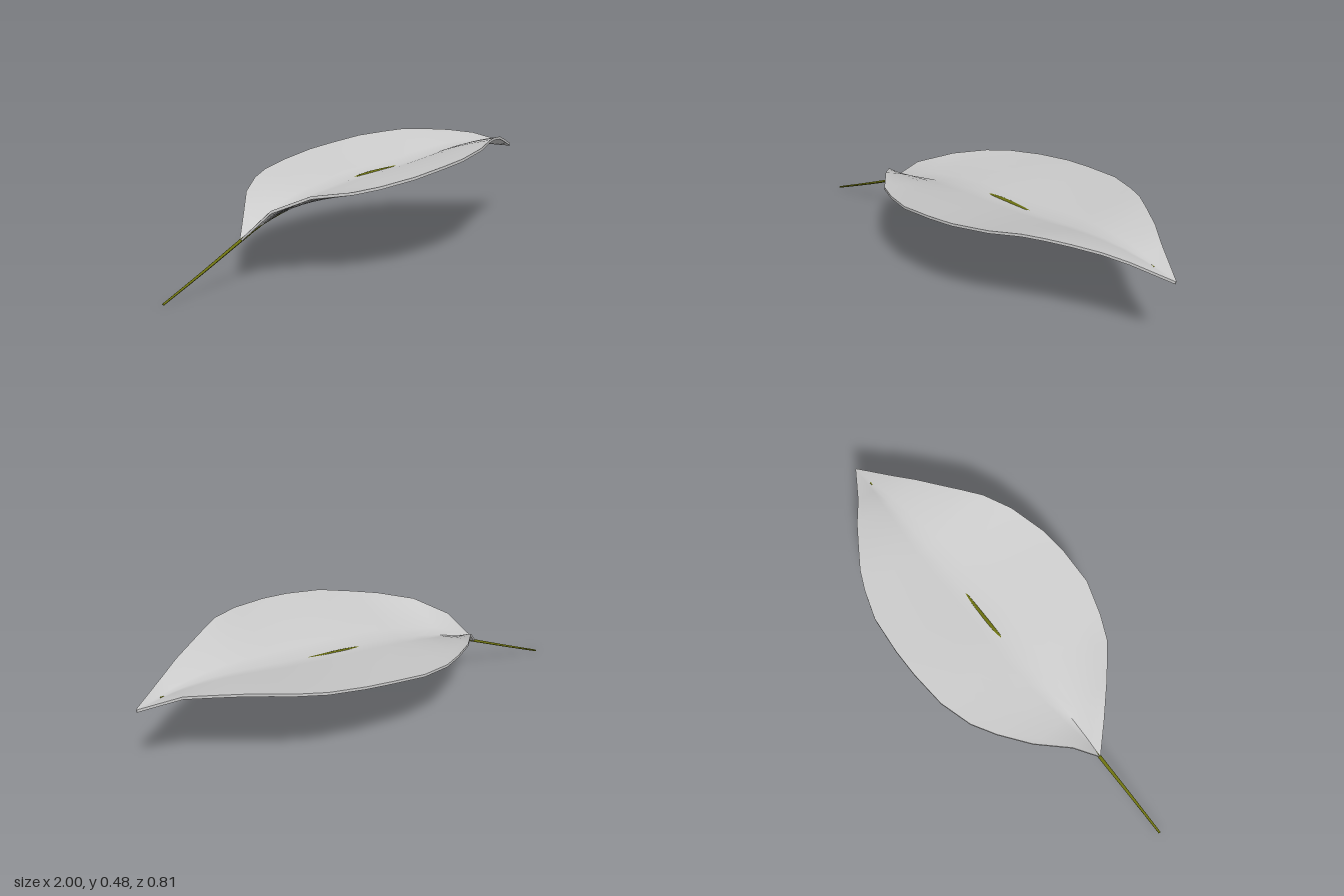
import * as THREE from 'three';
import { toCreasedNormals } from 'three/addons/utils/BufferGeometryUtils.js';

// Blade stations: x, back edge z, back edge y, front edge z, front edge y, midline y
const STATIONS = [
  [-0.615, -0.022, 0.187, -0.016, 0.187, 0.184],
  [-0.53, -0.10, 0.275, 0.07, 0.302, 0.228],
  [-0.42, -0.22, 0.315, 0.18, 0.36, 0.265],
  [-0.30, -0.31, 0.342, 0.29, 0.375, 0.295],
  [-0.20, -0.365, 0.355, 0.34, 0.39, 0.315],
  [-0.06, -0.402, 0.373, 0.39, 0.415, 0.336],
  [0.10, -0.41, 0.397, 0.40, 0.437, 0.348],
  [0.22, -0.405, 0.41, 0.393, 0.45, 0.357],
  [0.38, -0.385, 0.428, 0.355, 0.468, 0.373],
  [0.50, -0.34, 0.438, 0.30, 0.48, 0.387],
  [0.58, -0.30, 0.445, 0.25, 0.472, 0.395],
  [0.66, -0.245, 0.443, 0.20, 0.46, 0.40],
  [0.76, -0.175, 0.435, 0.14, 0.442, 0.399],
  [0.85, -0.10, 0.42, 0.085, 0.415, 0.39],
  [1.0, -0.003, 0.363, 0.003, 0.363, 0.362],
];
const THICKNESS = 0.012;
const HALF = 6; // strips on each side of the midline

// Closed V-shaped section: top from back to front, then underside front to back
function section([x, zBack, yBack, zFront, yFront, yMid]) {
  const zMid = -0.012 + 0.012 * x;
  const top = [];
  for (let i = -HALF; i <= HALF; i++) {
    const t = Math.abs(i) / HALF;
    const [ze, ye] = i < 0 ? [zBack, yBack] : [zFront, yFront];
    const rise = t + 0.2 * t * (1 - t);
    top.push([x, yMid + (ye - yMid) * rise, zMid + (ze - zMid) * t]);
  }
  const under = top.map(([px, py, pz]) => [px, py - THICKNESS, pz]).reverse();
  return [...top, ...under];
}

function bladeGeometry() {
  const rings = STATIONS.map(section);
  const n = rings[0].length;
  const index = [];
  for (let r = 0; r < rings.length - 1; r++) {
    for (let k = 0; k < n; k++) {
      const a = r * n + k, b = r * n + (k + 1) % n;
      index.push(a, b, a + n, b, b + n, a + n);
    }
  }
  // Close the base and the tip
  const last = (rings.length - 1) * n;
  for (let k = 0; k < n / 2 - 1; k++) {
    const a = k, b = k + 1, c = n - 2 - k, d = n - 1 - k;
    index.push(a, d, b, b, d, c);
    index.push(last + a, last + b, last + d, last + b, last + c, last + d);
  }
  const geo = new THREE.BufferGeometry();
  geo.setAttribute('position', new THREE.Float32BufferAttribute(rings.flat(2), 3));
  geo.setIndex(index);
  return toCreasedNormals(geo, 0.8);
}

// Stalk that runs on through the blade as its midrib, thickest under the base
function stalkGeometry() {
  const curve = new THREE.CatmullRomCurve3([
    [-0.995, 0.005, -0.01], [-0.8, 0.093, -0.014], [-0.61, 0.181, -0.02],
    [-0.5, 0.231, -0.021], [-0.3, 0.283, -0.024], [-0.1, 0.318, -0.028],
    [0.08, 0.347, -0.024], [0.3, 0.358, -0.012], [0.65, 0.391, -0.004],
    [0.9, 0.381, 0.002],
  ].map((p) => new THREE.Vector3(...p)));
  const steps = 40, sides = 8;
  const geo = new THREE.TubeGeometry(curve, steps, 1, sides);
  const pos = geo.attributes.position;
  const v = new THREE.Vector3();
  for (let i = 0; i < pos.count; i++) {
    const u = Math.floor(i / (sides + 1)) / steps;
    const c = curve.getPointAt(u);
    const radius = u < 0.4 ? 0.005 + 0.013 * u : 0.0102 - 0.011 * (u - 0.4);
    v.fromBufferAttribute(pos, i).sub(c).multiplyScalar(radius);
    v.y *= 0.75;
    v.add(c);
    pos.setXYZ(i, v.x, v.y, v.z);
  }
  geo.computeVertexNormals();
  return geo;
}

export function createModel() {
  const group = new THREE.Group();
  group.name = 'leaf';

  const blade = new THREE.Mesh(
    bladeGeometry(),
    new THREE.MeshStandardMaterial({ color: 0xcccccc }),
  );
  blade.name = 'blade';

  const stalk = new THREE.Mesh(
    stalkGeometry(),
    new THREE.MeshStandardMaterial({ color: 0x6b7010, side: THREE.DoubleSide }),
  );
  stalk.name = 'stalk';

  group.add(blade, stalk);
  return group;
}
